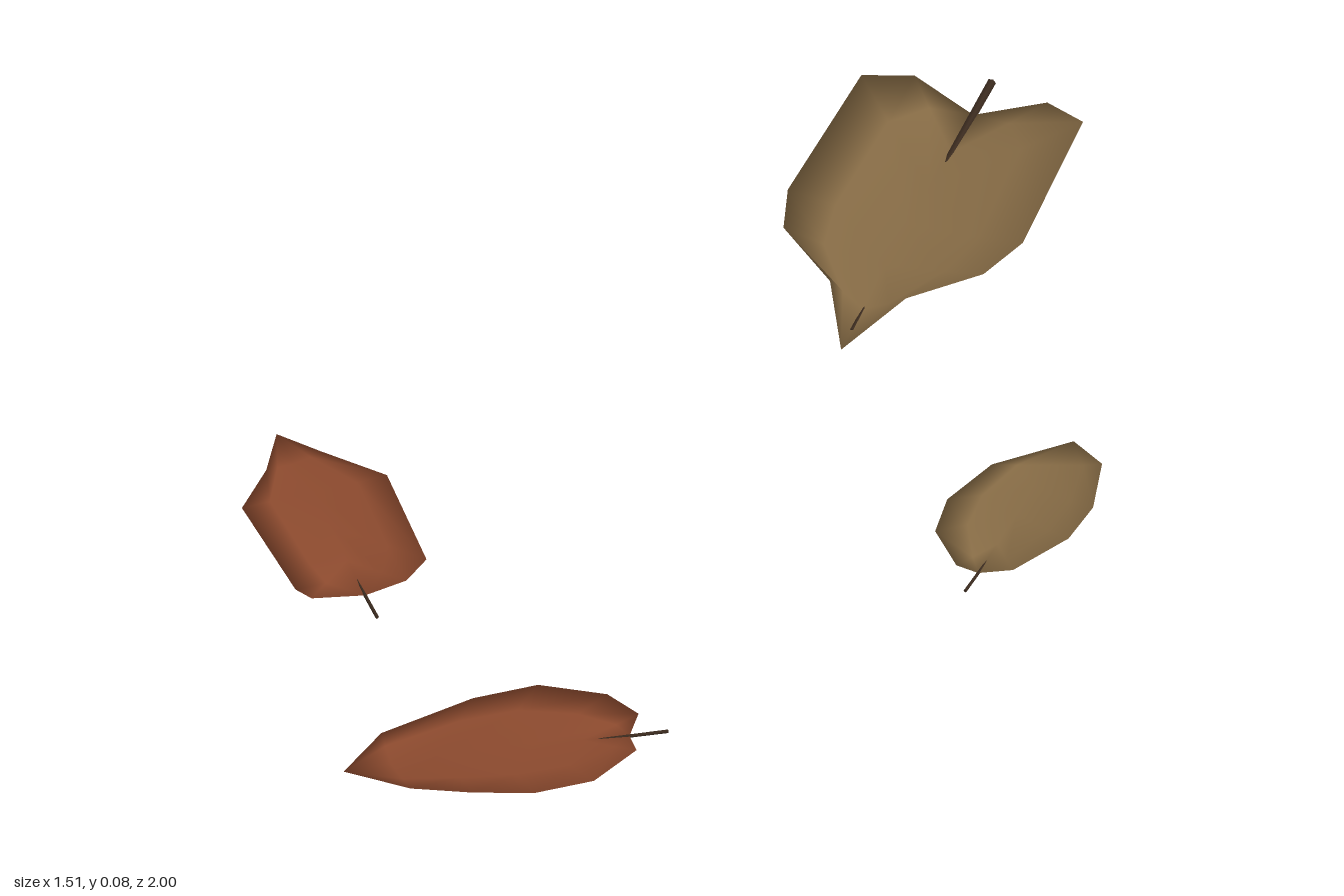
import * as THREE from 'three';
import { mergeVertices } from 'three/addons/utils/BufferGeometryUtils.js';

const COLUMNS = 5; // left rim, left half, spine, right half, right rim

// Cross-sections from tip to base; rim points are [x, z], heights follow the curl of each side
function bladeRows({ tip, stem, left, right, curl, arch }) {
  const n = left.length + 1;
  const base = tip.clone().lerp(stem, 0.88);
  const rows = [Array(COLUMNS).fill(tip)];
  for (let i = 1; i < n; i++) {
    const t = i / n, wave = Math.sin(Math.PI * t);
    const spine = tip.clone().lerp(base, t);
    const rim = ([x, z], lift) => new THREE.Vector3(x, spine.y + lift * Math.sqrt(wave), z);
    const l = rim(left[i - 1], curl[0]), r = rim(right[i - 1], curl[1]);
    // the spine arches over the straight midrib
    spine.y += arch * (wave - 0.55);
    const half = (edge) => {
      const p = spine.clone().lerp(edge, 0.6);
      p.y = THREE.MathUtils.lerp(spine.y, edge.y, 0.42);
      return p;
    };
    rows.push([l, half(l), spine, half(r), r]);
  }
  rows.push(Array(COLUMNS).fill(base));
  return rows;
}

// Thin closed blade: upper and lower skins share the rim, so shading rolls over the edge
function bladeGeometry(rows, thickness) {
  const n = rows.length - 1, positions = [], index = [];
  for (const side of [1, -1]) {
    const start = positions.length / 3;
    rows.forEach((row, i) => row.forEach((p, j) => {
      const onRim = i % n === 0 || j % (COLUMNS - 1) === 0;
      positions.push(p.x, p.y + (onRim ? 0 : side * thickness), p.z);
    }));
    for (let i = 0; i < n; i++) {
      for (let j = 0; j < COLUMNS - 1; j++) {
        const a = start + i * COLUMNS + j, b = a + COLUMNS, c = a + 1, d = b + 1;
        if (side > 0) index.push(a, c, b, c, d, b);
        else index.push(a, b, c, c, b, d);
      }
    }
  }
  const geometry = new THREE.BufferGeometry();
  geometry.setAttribute('position', new THREE.Float32BufferAttribute(positions, 3));
  geometry.setIndex(index);
  const merged = mergeVertices(geometry, 1e-5);
  merged.computeVertexNormals();
  return merged;
}

// Tapered rod, thicker at the stem end
function rod(from, to, radius, material) {
  const dir = to.clone().sub(from);
  const mesh = new THREE.Mesh(new THREE.CylinderGeometry(radius, radius * 0.5, dir.length(), 6), material);
  mesh.position.copy(from).lerp(to, 0.5);
  mesh.quaternion.setFromUnitVectors(new THREE.Vector3(0, 1, 0), dir.normalize());
  return mesh;
}

function material(name, color) {
  const m = new THREE.MeshStandardMaterial({ color });
  m.name = name;
  return m;
}

export function createModel() {
  const tan = material('dryTan', 0x866b45);
  const rust = material('rustBrown', 0x8c4a2e);
  const dark = material('darkStem', 0x3b2b1f);
  const point = (x, y, z) => new THREE.Vector3(x, y, z);
  const group = new THREE.Group();
  group.name = 'fallenLeaves';

  function addLeaf(name, color, ribRadius, shape) {
    const leaf = new THREE.Group();
    leaf.name = name;
    const blade = new THREE.Mesh(bladeGeometry(bladeRows(shape), 0.0045), color);
    blade.name = 'blade';
    const rib = rod(shape.tip.clone().lerp(shape.stem, 0.07), shape.stem, ribRadius, dark);
    rib.name = 'midribAndStem';
    leaf.add(blade, rib);
    group.add(leaf);
  }

  addLeaf('largeTanLeaf', tan, 0.008, {
    tip: point(0.28, 0.044, -0.22), stem: point(0.62, 0.012, -1),
    left: [[0.28, -0.39], [0.22, -0.53], [0.24, -0.64], [0.4, -0.965], [0.49, -0.975]],
    right: [[0.4, -0.325], [0.535, -0.375], [0.61, -0.46], [0.75, -0.805], [0.7, -0.885]],
    curl: [0.048, 0.036], arch: 0.024,
  });
  addLeaf('smallTanLeaf', tan, 0.003, {
    tip: point(0.635, 0.022, 0.055), stem: point(0.41, 0.006, 0.44),
    left: [[0.67, 0.16], [0.64, 0.29], [0.59, 0.37], [0.49, 0.435]],
    right: [[0.49, 0.13], [0.405, 0.225], [0.375, 0.31], [0.4, 0.4]],
    curl: [0.036, 0.026], arch: 0.018,
  });
  addLeaf('uprightRustLeaf', rust, 0.003, {
    tip: point(-0.675, 0.048, -0.08), stem: point(-0.565, 0.014, 0.415),
    left: [[-0.61, 0], [-0.51, 0.08], [-0.472, 0.32], [-0.51, 0.36]],
    right: [[-0.705, 0.03], [-0.757, 0.13], [-0.695, 0.365], [-0.67, 0.38]],
    curl: [0.028, 0.016], arch: 0.018,
  });
  addLeaf('frontRustLeaf', rust, 0.003, {
    tip: point(-0.67, 0.007, 0.84), stem: point(-0.13, 0.045, 0.84),
    left: [[-0.6, 0.775], [-0.44, 0.71], [-0.33, 0.695], [-0.22, 0.74], [-0.175, 0.8]],
    right: [[-0.57, 0.935], [-0.47, 0.975], [-0.37, 0.998], [-0.27, 0.98], [-0.19, 0.9]],
    curl: [0.03, 0.026], arch: 0.02,
  });
  return group;
}
